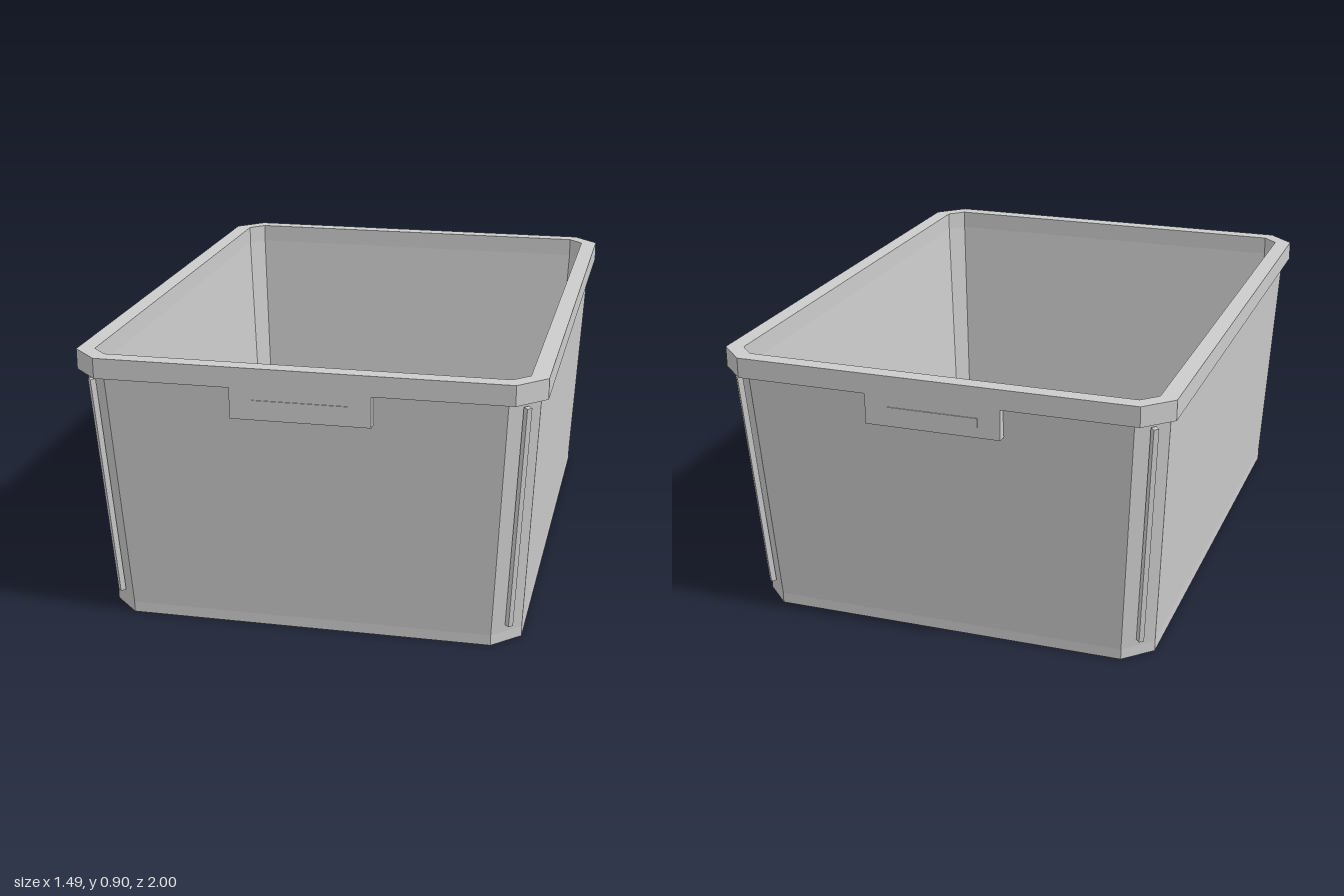
import * as THREE from 'three';

const material = new THREE.MeshStandardMaterial({ color: 0xcccccc, flatShading: true });

// Rectangle with cut corners, counter-clockwise seen from above
function octagon({ x, z, cut, y }) {
  const a = x - cut, b = z - cut;
  return [[x, b], [x, -b], [a, -z], [-a, -z], [-x, -b], [-x, b], [-a, z], [a, z]]
    .map(([px, pz]) => new THREE.Vector3(px, y, pz));
}

// Skin through successive octagons; either capped at both ends or joined into a ring
function loft(name, sections, capped) {
  const rings = sections.map(octagon);
  const points = [];
  const last = capped ? rings.length - 1 : rings.length;
  for (let s = 0; s < last; s++) {
    const lo = rings[s], hi = rings[(s + 1) % rings.length];
    for (let i = 0; i < 8; i++) {
      const j = (i + 1) % 8;
      points.push(lo[i], lo[j], hi[j], lo[i], hi[j], hi[i]);
    }
  }
  if (capped) {
    const bottom = rings[0], top = rings[rings.length - 1];
    for (let i = 1; i < 7; i++) {
      points.push(bottom[0], bottom[i + 1], bottom[i], top[0], top[i], top[i + 1]);
    }
  }
  const geometry = new THREE.BufferGeometry().setFromPoints(points);
  geometry.computeVertexNormals();
  const mesh = new THREE.Mesh(geometry, material);
  mesh.name = name;
  return mesh;
}

function box(name, w, h, d, x, y, z) {
  const mesh = new THREE.Mesh(new THREE.BoxGeometry(w, h, d), material);
  mesh.name = name;
  mesh.position.set(x, y, z);
  return mesh;
}

export function createModel() {
  const model = new THREE.Group();
  model.name = 'storageBin';

  // Tapered tub: upright foot, outer walls, wall top, inner walls, floor
  model.add(loft('tub', [
    { x: 0.68, z: 0.915, cut: 0.088, y: 0 },
    { x: 0.68, z: 0.915, cut: 0.088, y: 0.035 },
    { x: 0.723, z: 0.972, cut: 0.088, y: 0.832 },
    { x: 0.69, z: 0.943, cut: 0.05, y: 0.832 },
    { x: 0.647, z: 0.885, cut: 0.042, y: 0.035 },
  ], true));

  // Overhanging rim
  model.add(loft('rim', [
    { x: 0.69, z: 0.943, cut: 0.05, y: 0.83 },
    { x: 0.746, z: 0.997, cut: 0.088, y: 0.83 },
    { x: 0.746, z: 0.997, cut: 0.088, y: 0.896 },
    { x: 0.69, z: 0.943, cut: 0.05, y: 0.896 },
  ], false));

  // Grip tab with a raised strip at each end
  for (const side of [1, -1]) {
    model.add(box('gripTab', 0.445, 0.105, 0.035, 0, 0.783, side * 0.9795));
    model.add(box('gripStrip', 0.3, 0.03, 0.008, 0, 0.78, side * 0.996));
  }

  // Slim rib leaning along each cut corner
  const up = new THREE.Vector3(0, 1, 0);
  for (const sx of [1, -1]) for (const sz of [1, -1]) {
    const low = new THREE.Vector3(sx * 0.645, 0.06, sz * 0.882);
    const high = new THREE.Vector3(sx * 0.688, 0.81, sz * 0.938);
    const middle = low.clone().add(high).multiplyScalar(0.5);
    const rib = box('cornerRib', 0.018, low.distanceTo(high), 0.018, middle.x, middle.y, middle.z);
    const lean = new THREE.Quaternion().setFromUnitVectors(up, high.sub(low).normalize());
    rib.quaternion.copy(lean).multiply(new THREE.Quaternion().setFromAxisAngle(up, Math.PI / 4));
    model.add(rib);
  }

  return model;
}
